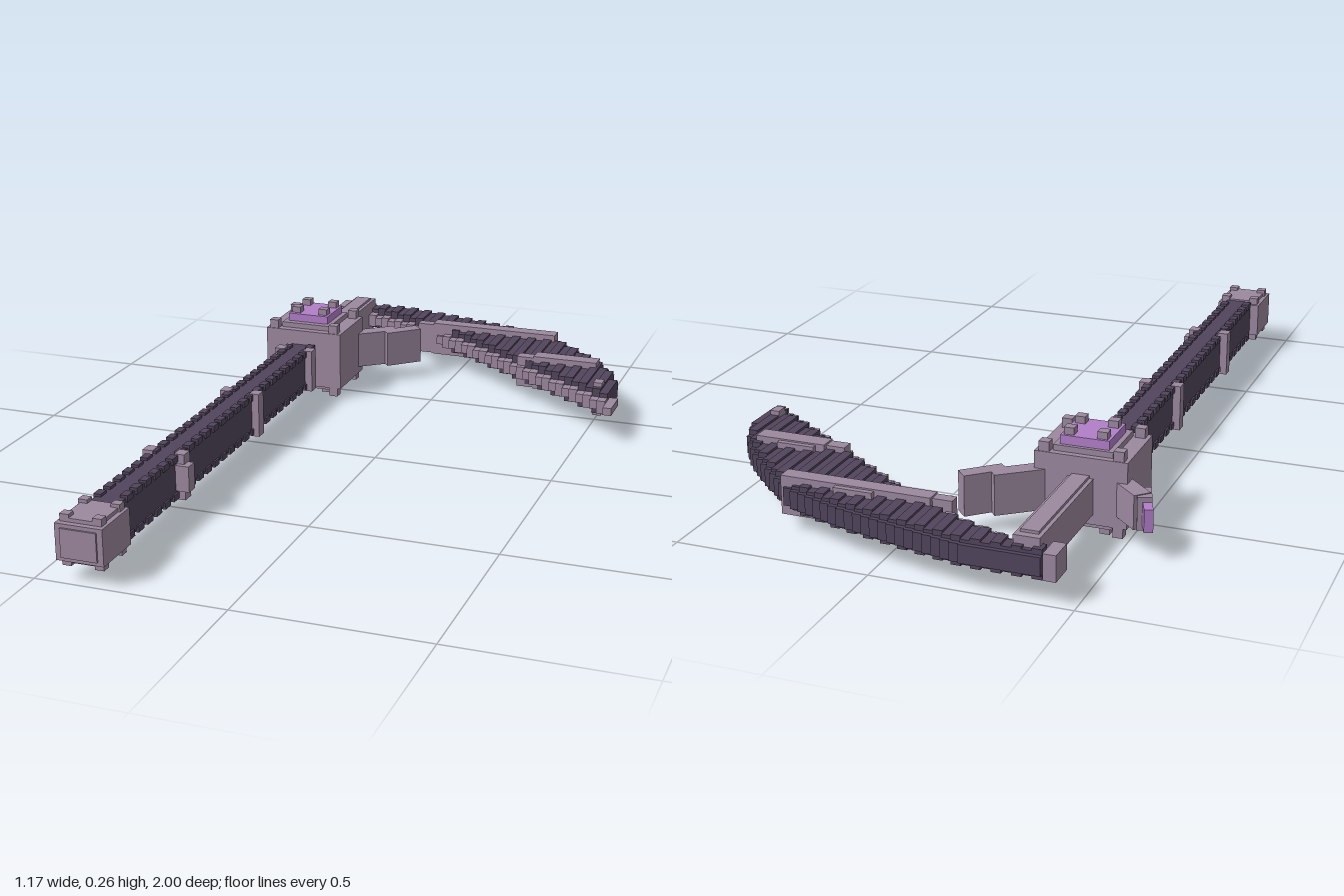
import * as THREE from 'three';

export function createModel() {
  const model = new THREE.Group();
  model.name = 'scythe';
  const mat = (name, color) => Object.assign(new THREE.MeshStandardMaterial({ color }), { name });
  const dark = mat('dark plum', 0x51455c);
  const grey = mat('mauve grey', 0x9c889f);
  const purple = mat('gem purple', 0xb27fc9);

  // Box given by its lower and upper bounds
  function box(parent, name, m, x0, x1, y0, y1, z0, z1) {
    const mesh = new THREE.Mesh(new THREE.BoxGeometry(x1 - x0, y1 - y0, z1 - z0), m);
    mesh.position.set((x0 + x1) / 2, (y0 + y1) / 2, (z0 + z1) / 2);
    mesh.name = name;
    parent.add(mesh);
    return mesh;
  }
  // Bar lying between two points of the xz plane
  function bar(parent, name, m, x0, z0, x1, z1, width, y0, y1) {
    const len = Math.hypot(x1 - x0, z1 - z0);
    const mesh = box(parent, name, m, -len / 2, len / 2, y0, y1, -width / 2, width / 2);
    mesh.position.x = (x0 + x1) / 2;
    mesh.position.z = (z0 + z1) / 2;
    mesh.rotation.y = -Math.atan2(z1 - z0, x1 - x0);
  }
  // Four square studs around a centre
  function studs(parent, cx, cz, dx, dz, half, y0, y1) {
    for (const sx of [-1, 1]) for (const sz of [-1, 1]) {
      const x = cx + sx * dx, z = cz + sz * dz;
      box(parent, 'stud', grey, x - half, x + half, y0, y1, z - half, z + half);
    }
  }
  const part = (name) => {
    const g = new THREE.Group();
    g.name = name;
    model.add(g);
    return g;
  };
  const CX = -0.378;

  // Handle with rows of small ridges along its four edges
  const handle = part('handle');
  box(handle, 'shaft', dark, CX - 0.037, CX + 0.037, 0.054, 0.157, -0.43, 0.86);
  for (let i = 0; i < 25; i++) {
    const z = -0.39 + i * 0.05;
    for (const s of [-1, 1]) {
      const x = CX + s * 0.032, o = s > 0 ? 0 : 0.014;
      box(handle, 'upperRidge', dark, x - 0.01, x + 0.01, 0.147, 0.164, z - 0.018 + o, z + 0.012 + o);
      box(handle, 'lowerRidge', dark, x - 0.01, x + 0.01, 0.047, 0.064, z - 0.018 + o, z + 0.012 + o);
    }
  }
  for (const z of [-0.357, 0.043, 0.523]) for (const s of [-1, 1]) {
    const x = CX + s * 0.044;
    box(handle, 'clamp', grey, x - 0.014, x + 0.014, 0.042, 0.166, z - 0.017, z + 0.017);
  }
  box(handle, 'clampPeg', grey, -0.34, -0.303, 0.07, 0.14, 0.517, 0.552);

  // Pommel
  const pommel = part('pommel');
  box(pommel, 'pommelBlock', grey, -0.44, -0.315, 0.055, 0.15, 0.855, 0.995);
  box(pommel, 'pommelPlate', grey, -0.428, -0.328, 0.046, 0.16, 0.865, 0.98);
  box(pommel, 'pommelFace', grey, -0.425, -0.33, 0.065, 0.14, 0.99, 1);
  for (const [y0, y1] of [[0.15, 0.169], [0.037, 0.055]]) studs(pommel, CX, 0.922, 0.043, 0.046, 0.012, y0, y1);

  // Head block with studs and gem plates above and below
  const head = part('head');
  box(head, 'headBlock', grey, -0.495, -0.26, 0.03, 0.2, -0.615, -0.42);
  for (const [y0, y1] of [[0.2, 0.225], [0.004, 0.03]]) studs(head, CX, -0.518, 0.094, 0.082, 0.013, y0, y1);
  box(head, 'upperPlate', grey, -0.453, -0.302, 0.2, 0.215, -0.598, -0.443);
  box(head, 'upperGem', purple, -0.44, -0.316, 0.215, 0.238, -0.588, -0.463);
  studs(head, CX, -0.528, 0.042, 0.04, 0.013, 0.238, 0.256);
  box(head, 'lowerPlate', grey, -0.453, -0.302, 0.015, 0.03, -0.598, -0.443);
  box(head, 'lowerGem', purple, -0.415, -0.34, 0.007, 0.015, -0.565, -0.485);
  studs(head, CX, -0.528, 0.055, 0.053, 0.013, 0, 0.015);

  // Neck to the blade
  const neck = part('neck');
  box(neck, 'neckBar', grey, -0.41, -0.346, 0.056, 0.148, -0.975, -0.6);
  box(neck, 'neckRidge', grey, -0.4, -0.356, 0.05, 0.155, -0.955, -0.6);

  // Prongs on either side of the head
  const prongs = part('prongs');
  bar(prongs, 'rightProngRoot', grey, -0.29, -0.585, -0.175, -0.675, 0.045, 0.05, 0.155);
  bar(prongs, 'rightProngTip', grey, -0.192, -0.632, -0.11, -0.708, 0.04, 0.05, 0.155);
  bar(prongs, 'leftProngRoot', grey, -0.47, -0.585, -0.545, -0.657, 0.045, 0.06, 0.147);
  bar(prongs, 'leftProngMiddle', grey, -0.535, -0.61, -0.555, -0.67, 0.035, 0.062, 0.145);
  bar(prongs, 'leftProngTip', purple, -0.545, -0.63, -0.577, -0.708, 0.022, 0.075, 0.133);

  // Curved blade made of stepped columns between an outer and an inner edge
  const outer = [[-0.46, -1], [-0.23, -1], [-0.07, -0.965], [0.12, -0.915], [0.27, -0.86],
    [0.37, -0.77], [0.46, -0.68], [0.52, -0.595], [0.56, -0.5], [0.585, -0.47]];
  const inner = [[-0.46, -0.93], [-0.33, -0.915], [-0.19, -0.86], [-0.09, -0.81], [0.03, -0.735],
    [0.16, -0.64], [0.29, -0.545], [0.4, -0.465], [0.5, -0.395], [0.585, -0.33]];
  const edgeZ = (pts, x) => {
    let i = 1;
    while (i < pts.length - 1 && pts[i][0] < x) i++;
    const [a, b] = [pts[i - 1], pts[i]];
    return a[1] + (b[1] - a[1]) * (x - a[0]) / (b[0] - a[0]);
  };
  const blade = part('blade');
  box(blade, 'bladeHeel', grey, -0.457, -0.425, 0.06, 0.125, -1, -0.93);
  const step = 0.0245;
  for (let i = 0; i < 40; i++) {
    const x0 = -0.42 + i * step, x1 = x0 + step, xm = (x0 + x1) / 2;
    const zo = Math.max(-1, edgeZ(outer, xm)), zi = edgeZ(inner, xm);
    const odd = i % 2 ? 0.006 : 0;
    box(blade, 'bladeSpine', dark, x0, x1, 0.068, 0.114, zo, zi - 0.04);
    box(blade, 'bladeBody', dark, x0, x1, 0.054 + odd, 0.128 - odd, zo + 0.012, zi - 0.032);
    box(blade, 'cuttingEdge', grey, x0, x1, 0.078 - odd, 0.104 + odd, zi - 0.045, zi);
  }
  box(blade, 'bladeTip', grey, 0.56, 0.585, 0.08, 0.102, -0.42, -0.33);

  // Raised ribs on both faces of the blade
  for (const [x0, x1, z0, z1] of [[-0.14, 0.3, -0.845, -0.803], [0.24, 0.48, -0.635, -0.588]]) {
    box(blade, 'rib', grey, x0 + 0.05, x1, 0.042, 0.142, z0, z1);
    box(blade, 'ribRoot', grey, x0, x0 + 0.06, 0.045, 0.137, z0 + 0.012, z1);
    const xm = x0 + (x1 - x0) * 0.6;
    box(blade, 'ribStep', grey, xm - 0.07, xm + 0.03, 0.044, 0.138, z0 - 0.014, z0);
  }
  box(blade, 'tipRib', grey, 0.51, 0.535, 0.042, 0.14, -0.46, -0.425);
  return model;
}
